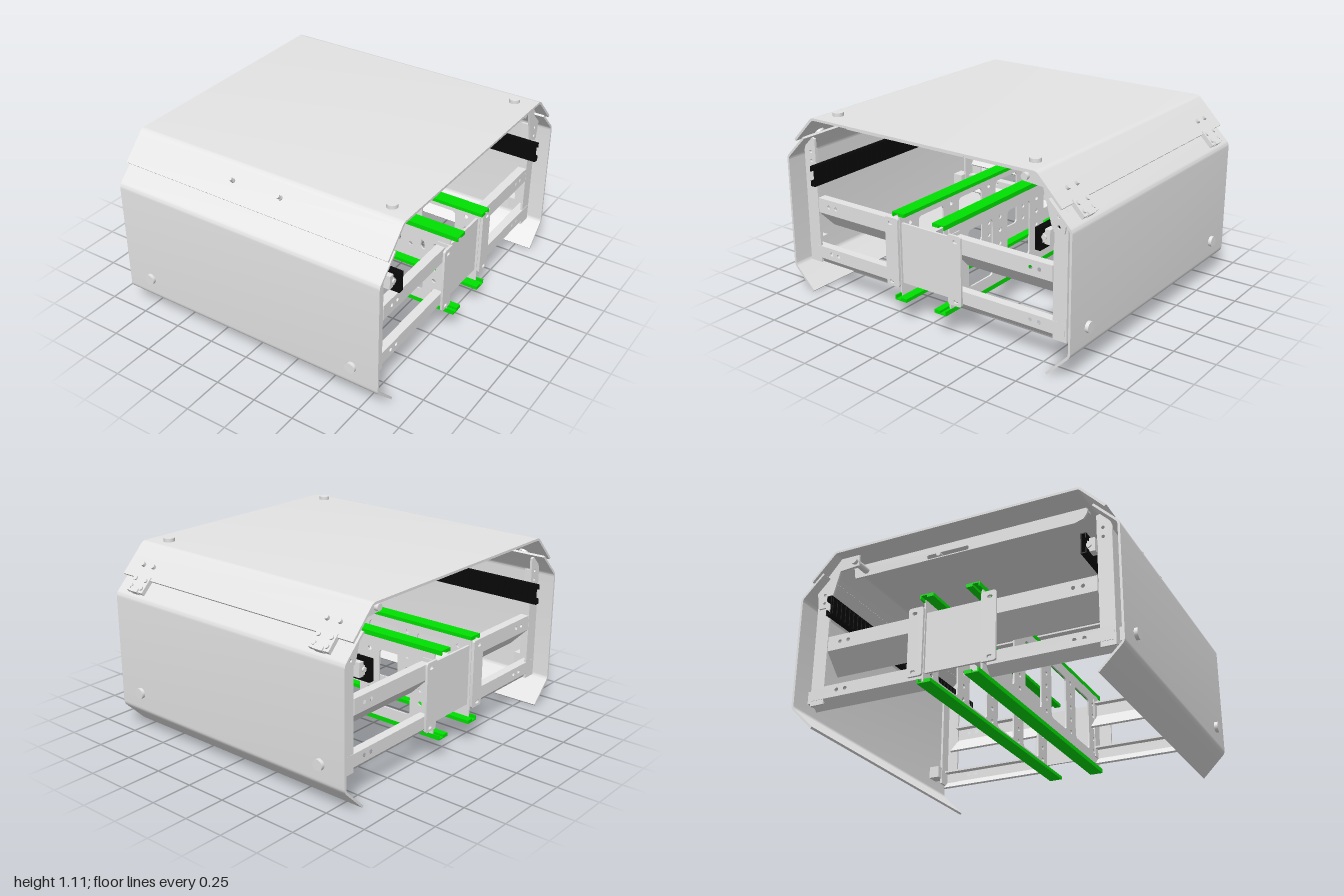
import * as THREE from 'three';
import { toCreasedNormals } from 'three/addons/utils/BufferGeometryUtils.js';

export function createModel() {
  const model = new THREE.Group();
  const mat = (name, color) => {
    const m = new THREE.MeshStandardMaterial({ color });
    m.name = name;
    return m;
  };
  const steel = mat('light grey steel', 0xe4e4e4);
  const black = mat('black plastic', 0x080808);
  const green = mat('green rail', 0x00e000);

  const add = (name, geo, material = steel, parent = model) => {
    const m = new THREE.Mesh(geo, material);
    m.name = name;
    parent.add(m);
    return m;
  };
  const box = (name, w, h, d, x, y, z, material = steel, parent = model) => {
    const m = add(name, new THREE.BoxGeometry(w, h, d), material, parent);
    m.position.set(x, y, z);
    return m;
  };
  // Cylinder along the given axis
  const disc = (name, r, len, axis, x, y, z, parent = model) => {
    const g = new THREE.CylinderGeometry(r, r, len, 20);
    if (axis === 'x') g.rotateZ(Math.PI / 2);
    if (axis === 'z') g.rotateX(Math.PI / 2);
    const m = add(name, g, steel, parent);
    m.position.set(x, y, z);
    return m;
  };
  const V = (p) => new THREE.Vector2(p[0], p[1]);
  const circle = (u, v, r) => new THREE.Path().absarc(u, v, r, 0, Math.PI * 2, true);
  const roundRect = (u, v, w, h, r, P = THREE.Path) => {
    const p = new P(), a = w / 2 - r, b = h / 2 - r, q = Math.PI / 2;
    [[a, b], [-a, b], [-a, -b], [a, -b]].forEach(([cu, cv], i) => p.absarc(u + cu, v + cv, r, i * q, (i + 1) * q, false));
    p.closePath();
    return p;
  };
  // Centred extrusion; along 'x' the shape lies in (z, y), along 'z' in (x, y)
  const extrude = (shape, depth, axis, holes = []) => {
    shape.holes.push(...holes);
    const g = new THREE.ExtrudeGeometry(shape, { depth, bevelEnabled: false, curveSegments: 5 });
    g.translate(0, 0, -depth / 2);
    if (axis === 'x') g.rotateY(-Math.PI / 2);
    return toCreasedNormals(g, 0.45);
  };
  const plate = (name, pts, x, t, holes = []) => {
    const m = add(name, extrude(new THREE.Shape(pts.map(V)), t, 'x', holes));
    m.position.x = x;
    return m;
  };
  // Rounds the inner corners of a polyline
  const soften = (p, r) => p.flatMap((c, i) => {
    if (i === 0 || i === p.length - 1) return [c];
    const toward = (q) => c.clone().add(q.clone().sub(c).setLength(r));
    return new THREE.QuadraticBezierCurve(toward(p[i - 1]), c, toward(p[i + 1])).getPoints(5);
  });
  // Bent sheet: a polyline thickened to its left with mitred corners
  const sheet = (pts, t, r = 0) => {
    const p = r > 0 ? soften(pts.map(V), r) : pts.map(V);
    const dir = (i) => p[i + 1].clone().sub(p[i]).normalize();
    const inner = p.map((c, i) => {
      const a = dir(Math.max(0, i - 1)), b = dir(Math.min(p.length - 2, i));
      const n = new THREE.Vector2(-a.y - b.y, a.x + b.x).normalize();
      return c.clone().addScaledVector(n, t / (-n.x * a.y + n.y * a.x));
    });
    return new THREE.Shape([...p, ...inner.reverse()]);
  };

  // Outer covers
  const W = 1.71;
  add('lid', extrude(sheet([[-0.92, 0.93], [-0.765, 1.09], [0.765, 1.09], [0.91, 0.94]], -0.014, 0.02), W, 'x'));
  for (const s of [1, -1]) {
    const end = s > 0 ? 'front' : 'rear';
    add(end + 'Panel', extrude(sheet(
      [[0.84, 0.0], [0.98, 0.14], [0.98, 0.825], [0.84, 0.965]].map(([z, y]) => [s * z, y]), s * 0.013, 0.02), W, 'x'));
    for (const x of [-0.69, 0.69]) {
      disc(end + 'Knob', 0.032, 0.022, 'z', x, 0.25, s * 0.989);
      box(end + 'Standoff', 0.08, 0.075, 0.07, x, 0.25, s * 0.935);
    }
  }
  for (const z of [-0.675, 0.675]) disc('lidKnob', 0.032, 0.022, 'y', 0.73, 1.1, z);

  // Studs and bump stops on the front slope
  for (const x of [-0.155, 0.155]) {
    const stud = new THREE.Group();
    stud.name = 'lidStud';
    stud.position.set(x, 1.02, 0.835);
    stud.rotation.x = Math.PI / 4;
    disc('studShaft', 0.011, 0.045, 'y', 0, 0.012, 0, stud);
    disc('studCollar', 0.013, 0.012, 'y', 0, 0.004, 0, stud);
    model.add(stud);
  }
  for (const x of [-0.69, 0.69]) {
    const stop = disc('bumpStop', 0.03, 0.022, 'y', x, 0.951, 0.877);
    stop.rotation.x = Math.PI / 4;
  }

  // Hinges on the rear slope
  for (const x of [-0.69, 0.69]) {
    const hinge = new THREE.Group();
    hinge.name = 'hinge';
    hinge.position.set(x, 0.9, -0.94);
    hinge.rotation.x = -Math.PI / 4;
    box('hingeLeaf', 0.13, 0.026, 0.105, 0, 0, 0, steel, hinge);
    box('hingeKnuckle', 0.06, 0.034, 0.03, 0, 0.004, -0.042, steel, hinge);
    for (const dx of [-0.042, 0.042]) {
      disc('hingeScrew', 0.013, 0.012, 'y', dx, 0.016, -0.025, hinge);
      disc('hingeScrew', 0.013, 0.012, 'y', dx, 0.016, 0.025, hinge);
      disc('lidScrew', 0.013, 0.018, 'y', dx, 0.02, 0.116, hinge);
    }
    model.add(hinge);
  }

  // Side frames, mirrored left and right
  for (const s of [1, -1]) {
    const X = s * 0.775;
    for (const f of [1, -1]) {
      const m = (pts) => pts.map(([z, y]) => [f * z, y]);
      const post = f > 0
        ? [[0.91, 0.17], [0.91, 0.86], [0.895, 0.9], [0.87, 0.95], [0.825, 0.935], [0.825, 0.17]]
        : [[0.91, 0.17], [0.91, 0.86], [0.825, 0.86], [0.825, 0.17]];
      plate('post', m(post), X, 0.014, [circle(f * 0.86, 0.855, 0.01), circle(f * 0.86, 0.8, 0.01)]);
      box('postFlange', 0.085, 0.66, 0.014, X - s * 0.04, 0.51, f * 0.903);
      // Upper and lower beams: a drilled web with a slanted lower flange
      for (const [top, bend, low, zOut] of [[0.58, 0.49, 0.375, 0.82], [0.275, 0.2, 0.15, 0.9]]) {
        const len = zOut - 0.19, mid = f * (zOut + 0.19) / 2;
        plate('beamWeb', m([[0.19, bend], [zOut, bend], [zOut, top], [0.19, top]]), X + s * 0.002, 0.012,
          [0.74, 0.685].map((z) => circle(f * z, (top + bend) / 2 + 0.002, 0.012)));
        const slant = add('beamSlant', extrude(
          sheet([[X, bend], [X - s * (bend - low), low]], -s * 0.012), len, 'z'));
        slant.position.set(s * 0.008, 0, mid);
        box('beamTopFlange', 0.05, 0.012, len, X - s * 0.02, top - 0.006, mid);
      }
      // Rail clip on each post
      box('railClip', 0.05, 0.08, 0.045, X + s * 0.02, 0.745, f * 0.806);
      disc('railClipBolt', 0.014, 0.012, 'x', X + s * 0.048, 0.742, f * 0.795);
      // Centre mounting bracket with slotted ends and a folded edge
      const br = add('centreBracket', extrude(
        roundRect(f * 0.22, 0.405, 0.09, 0.41, 0.012, THREE.Shape), 0.014, 'x',
        [0.575, 0.225].map((y) => roundRect(f * 0.228, y, 0.03, 0.02, 0.008))));
      br.position.x = s * 0.82;
      box('bracketFold', 0.09, 0.39, 0.012, s * 0.78, 0.405, f * 0.181);
    }
    // Lid side rib, hinge arm and pivot
    plate('lidRib', [[0.74, 1.065], [0.73, 1.035], [0.71, 1.01], [0.66, 0.995], [-0.74, 0.995], [-0.75, 1.065]], s * 0.67, 0.014,
      [roundRect(-0.122, 1.014, 0.27, 0.026, 0.012)]);
    box('lidRibFlange', 0.06, 0.012, 1.46, s * 0.645, 1.07, 0);
    disc('slotPin', 0.014, 0.04, 'x', s * 0.67, 1.014, -0.175);
    plate('hingeArm', [[-0.64, 1.07], [-0.76, 1.07], [-0.915, 0.89], [-0.895, 0.77], [-0.825, 0.77], [-0.765, 0.99], [-0.64, 1.0]],
      s * 0.787, 0.012, [circle(-0.86, 0.855, 0.01), circle(-0.86, 0.8, 0.01)]);
    disc('hingePivot', 0.02, 0.16, 'x', s * 0.735, 1.03, -0.665);
    // End plate closing the centre channel
    box('centreEndPlate', 0.014, 0.36, 0.34, s * 0.79, 0.4, 0);
  }

  for (const f of [1, -1]) {
    // Black cable rail: a lipped channel facing its posts
    const rail = sheet([[0.796, 0.712], [0.796, 0.68], [0.763, 0.68], [0.763, 0.8], [0.796, 0.8], [0.796, 0.768]]
      .map(([z, y]) => [f * z, y]), -f * 0.006);
    add('cableRail', extrude(rail, 1.716, 'x'), black);
    for (let i = 0; i <= 40; i++) {
      box('cableRailRib', 0.012, 0.1, 0.006, -0.84 + i * 0.042, 0.74, f * 0.761, black);
    }
    // Centre web with windows and perforated uprights
    const holes = [-0.54, -0.18, 0.18, 0.54].map((x) => roundRect(x, 0.4, 0.22, 0.34, 0.025));
    for (const x of [-0.72, -0.36, 0, 0.36, 0.72]) {
      for (let k = 0; k < 5; k++) holes.push(circle(x, 0.24 + k * 0.08, 0.013));
    }
    const web = add('centreWeb', extrude(new THREE.Shape(
      [[-0.81, 0.145], [0.81, 0.145], [0.81, 0.655], [-0.81, 0.655]].map(V)), 0.01, 'z', holes));
    web.position.z = f * 0.176;
    // Green rails with a thick inner lip along the channel edges
    for (const [y, d] of [[0.657, -1], [0.144, 1]]) {
      const pts = [[0.175, y + d * 0.02], [0.175, y], [0.1, y]].map(([z, v]) => [f * z, v]);
      add('greenRail', extrude(sheet(pts, f * d * 0.007), W, 'x'), green);
      box('greenRailLip', W, 0.015, 0.04, 0, y + d * 0.006, f * 0.12, green);
    }
  }
  return model;
}
